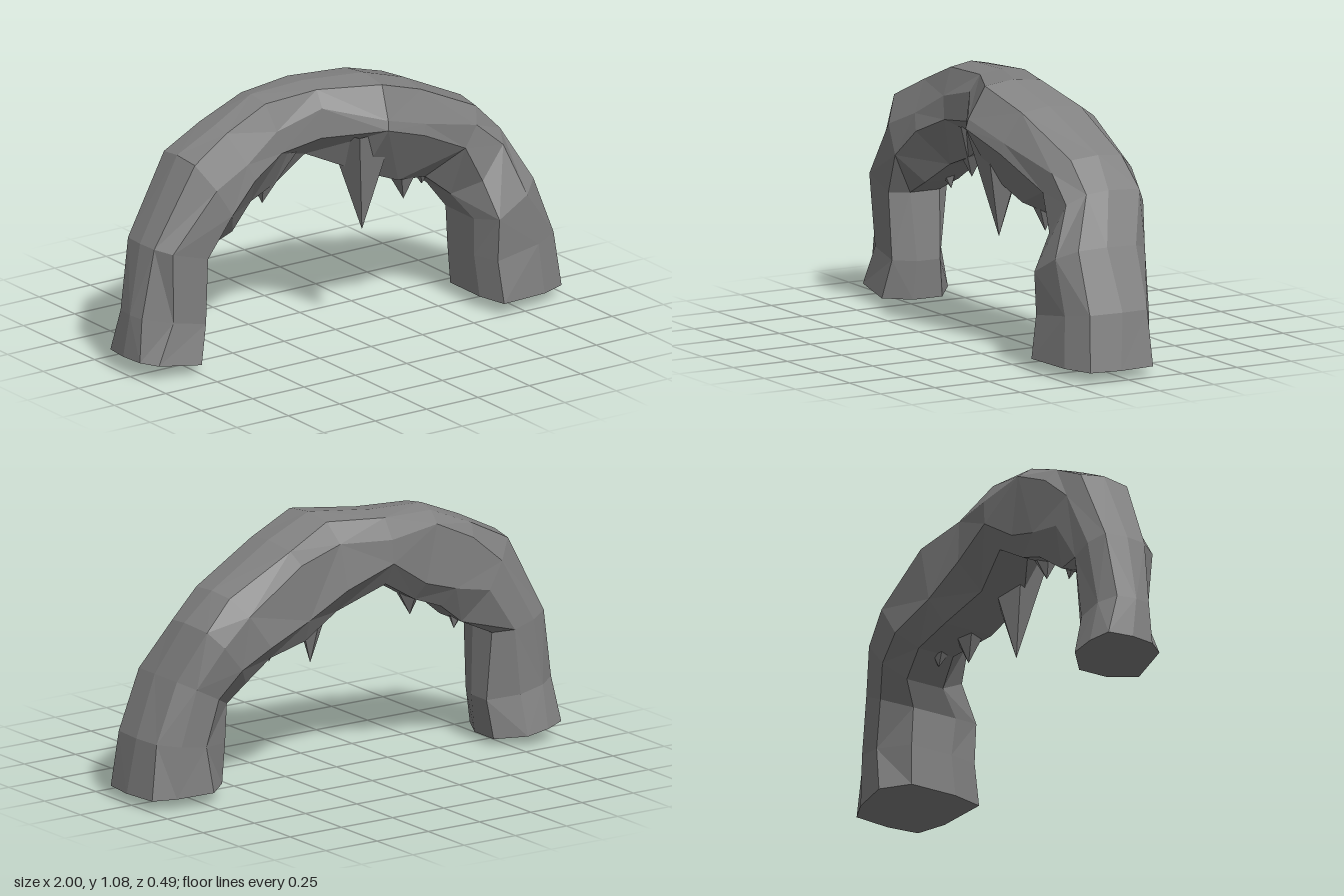
import * as THREE from 'three';

const material = new THREE.MeshStandardMaterial({ color: 0x828282, flatShading: true });

// Stations along the arch: outer x, y, inner x, y, front z, back z, depth of the front brow
const stations = [
  [-1.0, 0.07, -0.69, 0.03, 0.13, -0.20, 0.82],
  [-0.985, 0.25, -0.67, 0.19, 0.11, -0.16, 0.88],
  [-0.93, 0.54, -0.69, 0.47, 0.13, -0.17, 0.92],
  [-0.75, 0.88, -0.54, 0.54, 0.16, -0.18, 0.68],
  [-0.57, 0.97, -0.42, 0.63, 0.13, -0.19, 0.6],
  [-0.37, 1.055, -0.29, 0.68, 0.09, -0.20, 0.58],
  [-0.12, 1.065, -0.14, 0.77, 0.10, -0.22, 0.68],
  [0.12, 1.075, 0.07, 0.68, 0.24, -0.20, 0.47],
  [0.34, 1.0, 0.26, 0.60, 0.19, -0.23, 0.46],
  [0.65, 0.85, 0.44, 0.56, 0.14, -0.25, 0.52],
  [0.77, 0.73, 0.55, 0.47, 0.15, -0.24, 0.7],
  [0.87, 0.52, 0.60, 0.38, 0.23, -0.19, 0.85],
  [0.97, 0.27, 0.61, 0.22, 0.22, -0.18, 0.92],
  [1.0, 0.04, 0.62, 0.05, 0.24, -0.18, 0.92],
];

// Cross-section: depth from outer to inner edge, and side from back -1 to front +1
const section = [
  [0.3, 0.93], [0.04, 0.58], [0, -0.05], [0.04, -0.64], [0.25, -0.95],
  [0.7, -0.97], [1, -0.55], [1, 0.35], ['brow', 1],
];

// Seeded variation in the range -1..1
function makeRandom(seed) {
  return () => {
    seed = (seed * 16807) % 2147483647;
    return (seed / 2147483647) * 2 - 1;
  };
}

function archGeometry() {
  const random = makeRandom(77);
  const n = section.length;
  const last = stations.length - 1;
  const points = [];
  const index = [];

  for (const [ox, oy, ix, iy, front, back, brow] of stations) {
    for (const [depth, side] of section) {
      const edge = depth < 0.1 || depth === 1;
      const u = depth === 'brow' ? brow : depth + (edge ? 0 : random() * 0.1);
      const w = side + random() * (edge ? 0.1 : 0.04);
      points.push(
        ox + (ix - ox) * u,
        oy + (iy - oy) * u,
        (front + back) / 2 + (w * (front - back)) / 2,
      );
    }
  }

  // Skin, with the diagonals alternating for a chipped look
  for (let i = 0; i < last; i++) {
    for (let j = 0; j < n; j++) {
      const k = (j + 1) % n;
      const a = i * n + j, b = a + n, c = (i + 1) * n + k, d = i * n + k;
      if ((i + j) % 2) index.push(a, b, c, a, c, d);
      else index.push(a, b, d, b, c, d);
    }
  }

  // Shallow pointed soles
  const start = points.length / 3;
  points.push(-0.8, 0.03, -0.04, 0.75, 0, -0.03);
  for (let j = 0; j < n; j++) {
    const k = (j + 1) % n;
    index.push(start, j, k, start + 1, last * n + k, last * n + j);
  }

  const geometry = new THREE.BufferGeometry();
  geometry.setAttribute('position', new THREE.Float32BufferAttribute(points, 3));
  geometry.setIndex(index);
  const flat = geometry.toNonIndexed();
  flat.computeVertexNormals();
  return flat;
}

// Faceted spike hanging from its root to its tip
function spikeGeometry(root, tip, radius, sides) {
  const height = root[1] - tip[1];
  const geometry = new THREE.ConeGeometry(radius, height, sides, 1, true);
  geometry.rotateX(Math.PI);
  const p = geometry.attributes.position;
  for (let i = 0; i < p.count; i++) {
    const t = 0.5 - p.getY(i) / height;
    p.setXYZ(
      i,
      p.getX(i) + root[0] + (tip[0] - root[0]) * t,
      root[1] - height * t,
      p.getZ(i) + root[2] + (tip[2] - root[2]) * t,
    );
  }
  const flat = geometry.toNonIndexed();
  flat.computeVertexNormals();
  return flat;
}

export function createModel() {
  const group = new THREE.Group();
  group.name = 'rockArch';

  const arch = new THREE.Mesh(archGeometry(), material);
  arch.name = 'archBody';
  group.add(arch);

  // Stalactites: root, tip, radius, sides
  const spikes = [
    [[-0.57, 0.70, -0.04], [-0.53, 0.505, -0.06], 0.11, 5],
    [[-0.31, 0.82, -0.04], [-0.33, 0.59, -0.04], 0.13, 5],
    [[0.08, 0.86, 0.06], [0.08, 0.43, 0.07], 0.14, 5],
    [[0.32, 0.76, -0.01], [0.33, 0.49, 0], 0.14, 5],
    [[0.45, 0.70, -0.05], [0.46, 0.51, -0.06], 0.12, 5],
  ];
  spikes.forEach(([root, tip, radius, sides], i) => {
    const spike = new THREE.Mesh(spikeGeometry(root, tip, radius, sides), material);
    spike.name = `stalactite${i + 1}`;
    group.add(spike);
  });

  return group;
}
